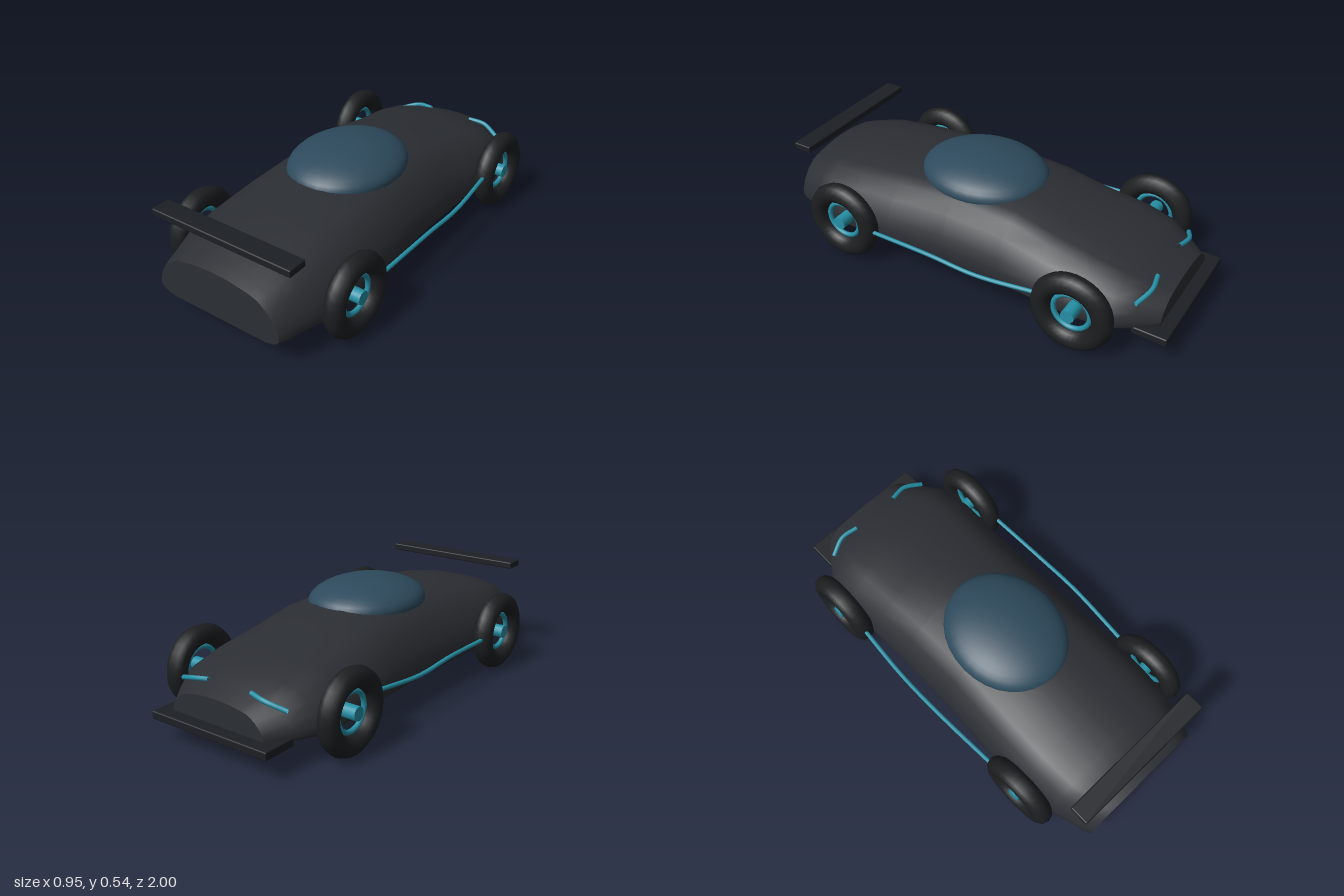
import * as THREE from 'three';
import { RoundedBoxGeometry } from 'three/addons/geometries/RoundedBoxGeometry.js';

const material = (color, side = THREE.FrontSide) => new THREE.MeshStandardMaterial({ color, side });

// Body stations: z, half width, underside height, roof height
const STATIONS = [
  [1, 0.325, 0.115, 0.345], [0.96, 0.345, 0.113, 0.358], [0.87, 0.37, 0.11, 0.385],
  [0.8, 0.395, 0.11, 0.402], [0.63, 0.41, 0.108, 0.422], [0.4, 0.408, 0.107, 0.45],
  [0.1, 0.393, 0.106, 0.47], [-0.2, 0.393, 0.106, 0.455], [-0.4, 0.4, 0.107, 0.407],
  [-0.6, 0.408, 0.108, 0.372], [-0.75, 0.388, 0.11, 0.334], [-0.84, 0.33, 0.113, 0.3],
  [-0.94, 0.255, 0.12, 0.258],
];

// Half cross-section, roof to underside, as fractions of half width and height
const SECTION = [
  [0, 1], [0.2, 0.99], [0.36, 0.96], [0.53, 0.92], [0.68, 0.86], [0.83, 0.7],
  [0.94, 0.49], [0.985, 0.32], [1, 0.17], [0.96, 0.09], [0.88, 0.03], [0.76, 0], [0.4, 0], [0, 0],
];

function bodyGeometry() {
  const mirrored = SECTION.slice(1, -1).reverse().map(([x, y]) => [-x, y]);
  const ring = [...SECTION, ...mirrored];
  const n = ring.length;
  const positions = [];
  const indices = [];
  const addRing = ([z, w, low, high]) => {
    for (const [x, y] of ring) positions.push(x * w, low + y * (high - low), z);
  };
  // Skin
  STATIONS.forEach(addRing);
  for (let i = 0; i < STATIONS.length - 1; i++) {
    for (let j = 0; j < n; j++) {
      const k = (j + 1) % n;
      const a = i * n + j, b = i * n + k;
      indices.push(a, b, a + n, b, b + n, a + n);
    }
  }
  // Flat tail and nose, with their own vertices for a sharp rim
  for (const [station, isTail] of [[STATIONS[0], true], [STATIONS.at(-1), false]]) {
    const start = positions.length / 3;
    addRing(station);
    positions.push(0, (station[2] + station[3]) / 2, station[0]);
    for (let j = 0; j < n; j++) {
      const a = start + j, b = start + (j + 1) % n;
      indices.push(start + n, ...(isTail ? [b, a] : [a, b]));
    }
  }
  const geometry = new THREE.BufferGeometry();
  geometry.setAttribute('position', new THREE.Float32BufferAttribute(positions, 3));
  geometry.setIndex(indices);
  geometry.computeVertexNormals();
  return geometry;
}

export function createModel() {
  const car = new THREE.Group();
  car.name = 'raceCar';
  const paint = material(0x2b2e33);
  const trim = material(0x1c1f24);
  const rubber = material(0x1c1e20);
  const teal = material(0x2590a6, THREE.DoubleSide);
  const glass = material(0x2d4a5c);

  const add = (name, geometry, mat, parent = car, position = [0, 0, 0]) => {
    const mesh = new THREE.Mesh(geometry, mat);
    mesh.name = name;
    mesh.position.set(...position);
    parent.add(mesh);
    return mesh;
  };

  add('body', bodyGeometry(), paint);

  // Canopy bubble
  const canopy = new THREE.SphereGeometry(1, 32, 20).scale(0.265, 0.11, 0.315);
  add('canopy', canopy, glass, car, [0, 0.43, 0.095]);

  // Floating rear wing and front splitter
  add('rearWing', new RoundedBoxGeometry(0.735, 0.034, 0.095, 2, 0.006), trim, car, [0, 0.478, 0.917]);
  add('frontSplitter', new RoundedBoxGeometry(0.645, 0.038, 0.165, 2, 0.006), trim, car, [0, 0.124, -0.9175]);

  // Wheels: open ring tyre, thin rim and a hub
  const tyre = new THREE.TorusGeometry(0.147, 0.048, 10, 32).rotateY(Math.PI / 2);
  const rim = new THREE.TorusGeometry(0.088, 0.012, 8, 32).rotateY(Math.PI / 2);
  const hub = new THREE.CylinderGeometry(0.032, 0.032, 0.08, 16).rotateZ(Math.PI / 2);
  for (const side of [1, -1]) {
    const sideName = side > 0 ? 'left' : 'right';
    for (const [end, z] of [['Rear', 0.635], ['Front', -0.605]]) {
      const wheel = new THREE.Group();
      wheel.name = `${sideName}${end}Wheel`;
      wheel.position.set(side * 0.43, 0.2, z);
      add('tyre', tyre, rubber, wheel);
      add('rim', rim, teal, wheel);
      add('hub', hub, teal, wheel);
      car.add(wheel);
    }

    // Glowing tubes along the flank and over the nose
    const tube = (name, points, radius, steps) => {
      const path = new THREE.CatmullRomCurve3(points.map(([x, y, z]) => new THREE.Vector3(side * x, y, z)));
      add(name, new THREE.TubeGeometry(path, steps, radius, 8), teal);
    };
    tube(`${sideName}SideStrip`, [[0.44, 0.2, 0.46], [0.458, 0.22, 0.12], [0.458, 0.212, -0.14], [0.44, 0.237, -0.44]], 0.01, 32);
    tube(`${sideName}Headlight`, [[0.295, 0.247, -0.835], [0.205, 0.278, -0.868], [0.12, 0.288, -0.855]], 0.011, 16);
  }
  return car;
}
